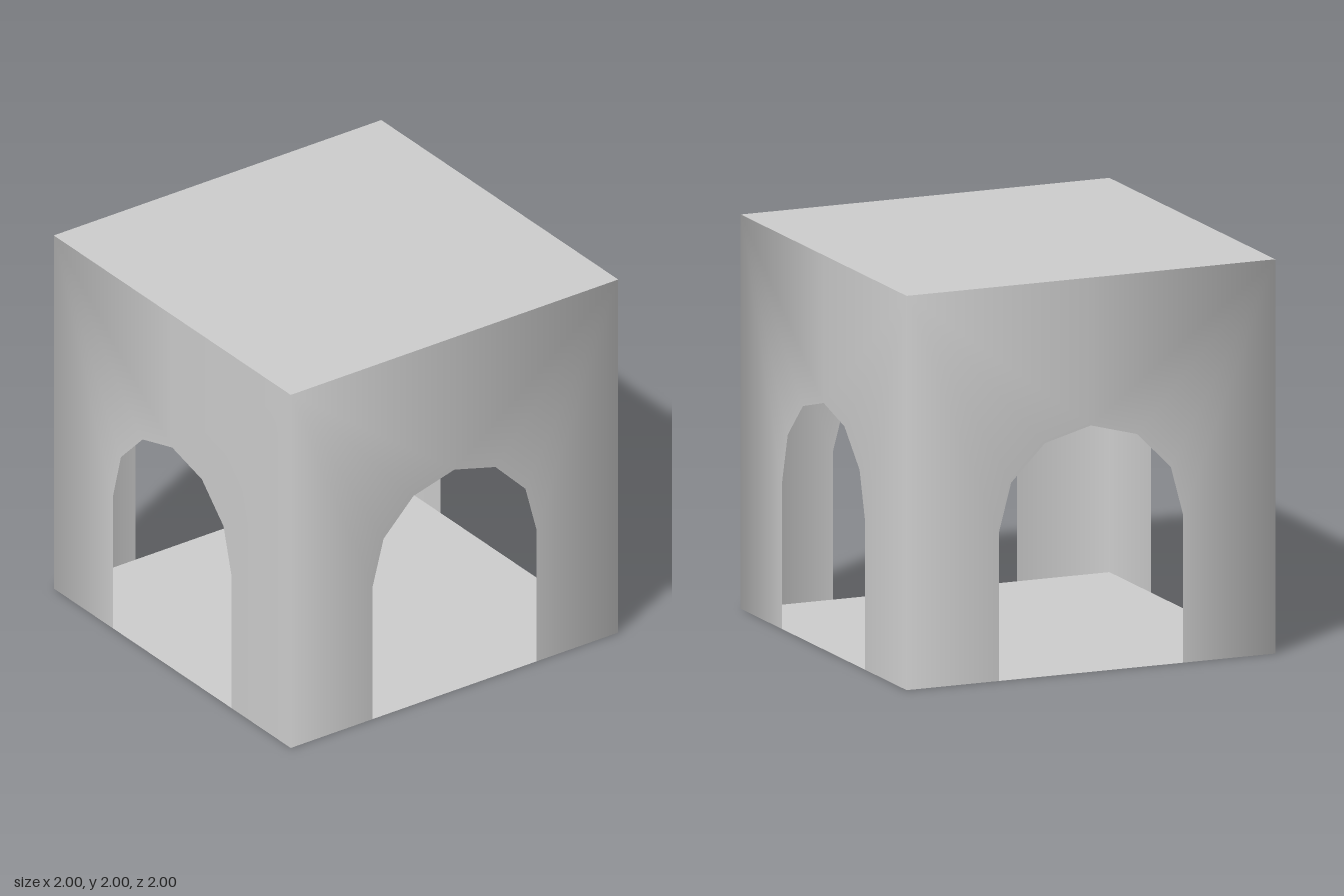
import * as THREE from 'three';

const SPRING = 0.75, RADIUS = 0.5, STEPS = 3;

// One thin wall facing +z with an arched opening; each half is a fan from its upper corner.
function archedWall() {
  const rim = [[1, 2], [0, 2]];
  for (let i = STEPS; i >= 0; i--) {
    const a = (i / STEPS) * Math.PI / 2;
    rim.push([RADIUS * Math.cos(a), SPRING + RADIUS * Math.sin(a)]);
  }
  rim.push([RADIUS, 0], [1, 0]);

  const positions = [], normals = [], indices = [];
  for (const side of [1, -1]) {
    const start = positions.length / 3;
    for (const [x, y] of rim) {
      positions.push(side * x, y, 1);
      // Normals turn diagonal at the outer edge so the corners shade smoothly
      const n = x === 1 ? Math.SQRT1_2 : 0;
      normals.push(side * n, 0, n ? Math.SQRT1_2 : 1);
    }
    for (let i = 1; i < rim.length - 1; i++) {
      const [b, c] = side > 0 ? [i, i + 1] : [i + 1, i];
      indices.push(start, start + b, start + c);
    }
  }
  const geometry = new THREE.BufferGeometry();
  geometry.setAttribute('position', new THREE.Float32BufferAttribute(positions, 3));
  geometry.setAttribute('normal', new THREE.Float32BufferAttribute(normals, 3));
  geometry.setIndex(indices);
  return geometry;
}

export function createModel() {
  const model = new THREE.Group();
  model.name = 'archedPavilion';
  const stone = new THREE.MeshStandardMaterial({ color: 0xcccccc, side: THREE.DoubleSide });
  stone.name = 'pale grey';

  // Four identical walls
  const wall = archedWall();
  ['frontWall', 'leftWall', 'backWall', 'rightWall'].forEach((name, i) => {
    const mesh = new THREE.Mesh(wall, stone);
    mesh.name = name;
    mesh.rotation.y = i * Math.PI / 2;
    model.add(mesh);
  });

  // Flat roof facing up and floor facing down
  const slab = new THREE.PlaneGeometry(2, 2);
  for (const [name, y, turn] of [['roof', 2, -1], ['floor', 0, 1]]) {
    const mesh = new THREE.Mesh(slab, stone);
    mesh.name = name;
    mesh.position.y = y;
    mesh.rotation.x = turn * Math.PI / 2;
    model.add(mesh);
  }
  return model;
}
